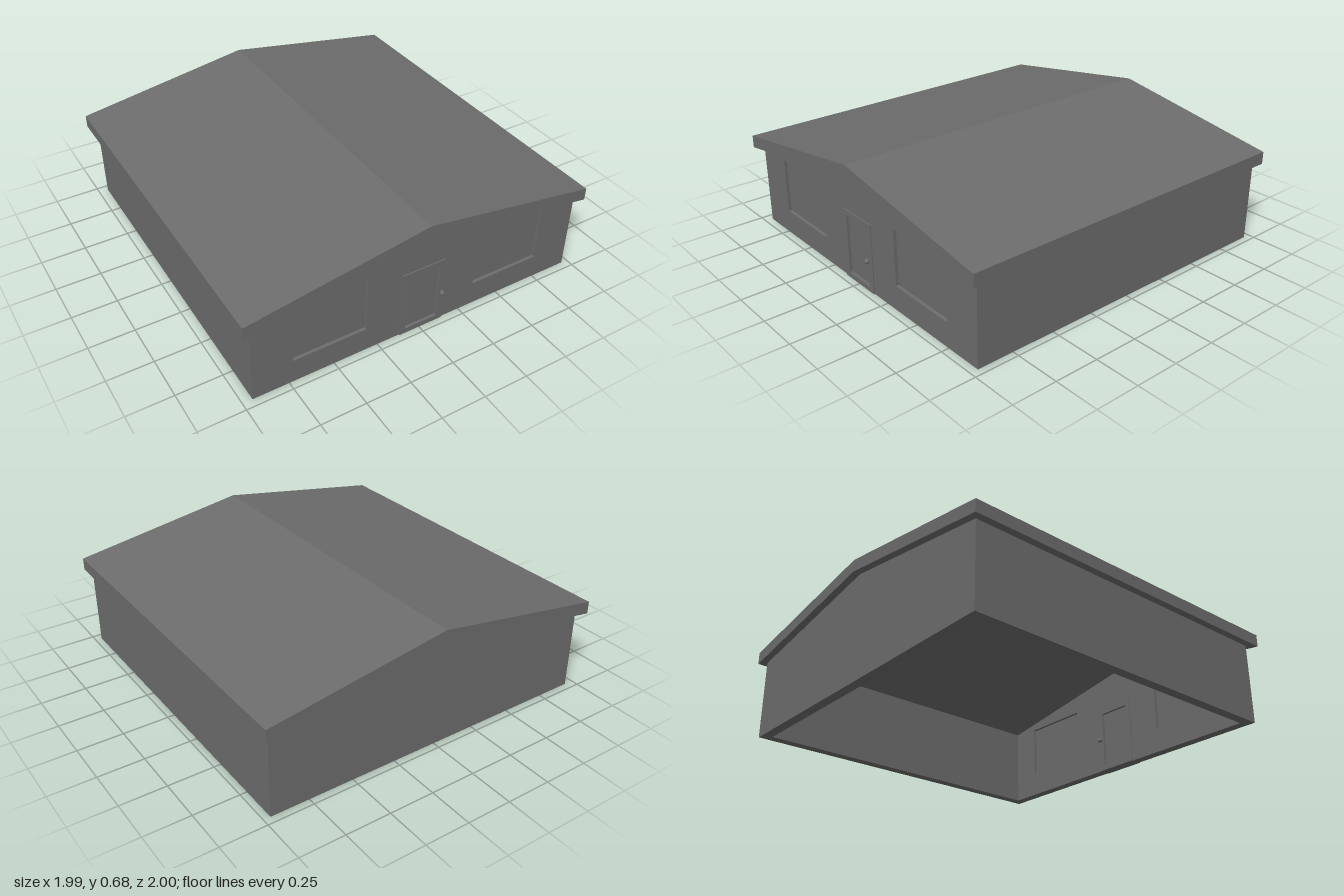
import * as THREE from 'three';

const material = new THREE.MeshStandardMaterial({ color: 0x6d6d6d, flatShading: true });

// Main sizes
const LEFT = 0.963, RIGHT = -0.947, FRONT = 0.957, BACK = -0.96, WALL = 0.055;
const EAVE = 0.45, RIDGE = 0.608, ROOF_HALF = 0.995, ROOF_THICK = 0.07;
const undersideY = (x) => RIDGE - (RIDGE - EAVE) * Math.abs(x) / ROOF_HALF;

// Openings as [x0, y0, x1, y1]
const windows = [[-0.727, 0.137, -0.318, 0.449], [0.332, 0.137, 0.742, 0.449]];
const door = [-0.087, 0.03, 0.104, 0.364];

const rectPoints = ([x0, y0, x1, y1]) => [[x0, y0], [x1, y0], [x1, y1], [x0, y1]];
const toVectors = (points) => points.map(([x, y]) => new THREE.Vector2(x, y));

// Extrude an outline in x/y between two z positions, cutting rectangular holes
function slab(name, points, z0, z1, holes = []) {
  const shape = new THREE.Shape(toVectors(points));
  for (const hole of holes) shape.holes.push(new THREE.Path(toVectors(rectPoints(hole))));
  const geometry = new THREE.ExtrudeGeometry(shape, { depth: z1 - z0, bevelEnabled: false });
  geometry.translate(0, 0, z0);
  const mesh = new THREE.Mesh(geometry, material);
  mesh.name = name;
  return mesh;
}

// Round faceted knob on a short stem; side is +1 outside, -1 inside
function doorKnob(name, z, side) {
  const knob = new THREE.Group();
  knob.name = name;
  const ball = new THREE.Mesh(new THREE.SphereGeometry(0.014, 10, 8), material);
  ball.position.z = 0.02;
  const stem = new THREE.Mesh(new THREE.CylinderGeometry(0.005, 0.005, 0.024, 8), material);
  stem.rotation.x = Math.PI / 2;
  stem.position.z = 0.008;
  knob.add(ball, stem);
  knob.position.set(0.117, 0.19, z);
  if (side < 0) knob.rotation.y = Math.PI;
  return knob;
}

export function createModel() {
  const house = new THREE.Group();
  house.name = 'house';

  // Gabled end walls
  const gable = [[RIGHT, 0], [LEFT, 0], [LEFT, undersideY(LEFT)], [0, RIDGE], [RIGHT, undersideY(RIGHT)]];
  house.add(slab('frontWall', gable, FRONT - WALL, FRONT, [...windows, door]));
  house.add(slab('backWall', gable, BACK, BACK + WALL));

  // Side walls, their tops following the roof slope
  for (const [name, x0, x1] of [['leftWall', LEFT - WALL, LEFT], ['rightWall', RIGHT, RIGHT + WALL]]) {
    const outline = [[x0, 0], [x1, 0], [x1, undersideY(x1)], [x0, undersideY(x0)]];
    house.add(slab(name, outline, BACK + WALL, FRONT - WALL));
  }

  // Pitched roof slab with overhanging eaves
  const roof = [
    [-ROOF_HALF, EAVE], [0, RIDGE], [ROOF_HALF, EAVE],
    [ROOF_HALF, EAVE + ROOF_THICK], [0, RIDGE + ROOF_THICK], [-ROOF_HALF, EAVE + ROOF_THICK],
  ];
  house.add(slab('roof', roof, -1, 1));

  // Panes and door panel set back in the middle of the wall
  const middle = FRONT - WALL / 2;
  windows.forEach((opening, i) => {
    house.add(slab(i ? 'leftWindowPane' : 'rightWindowPane', rectPoints(opening), middle - 0.01, middle + 0.01));
  });
  house.add(slab('doorPanel', rectPoints(door), middle - 0.018, middle + 0.018));

  // Door frame standing slightly proud of both wall faces
  const proud = 0.006;
  house.add(slab('doorFrame', rectPoints([-0.12, 0, 0.136, 0.392]),
    FRONT - WALL - proud, FRONT + proud, [door]));
  house.add(doorKnob('outerDoorKnob', FRONT + proud - 0.003, 1));
  house.add(doorKnob('innerDoorKnob', FRONT - WALL - proud + 0.003, -1));

  return house;
}
